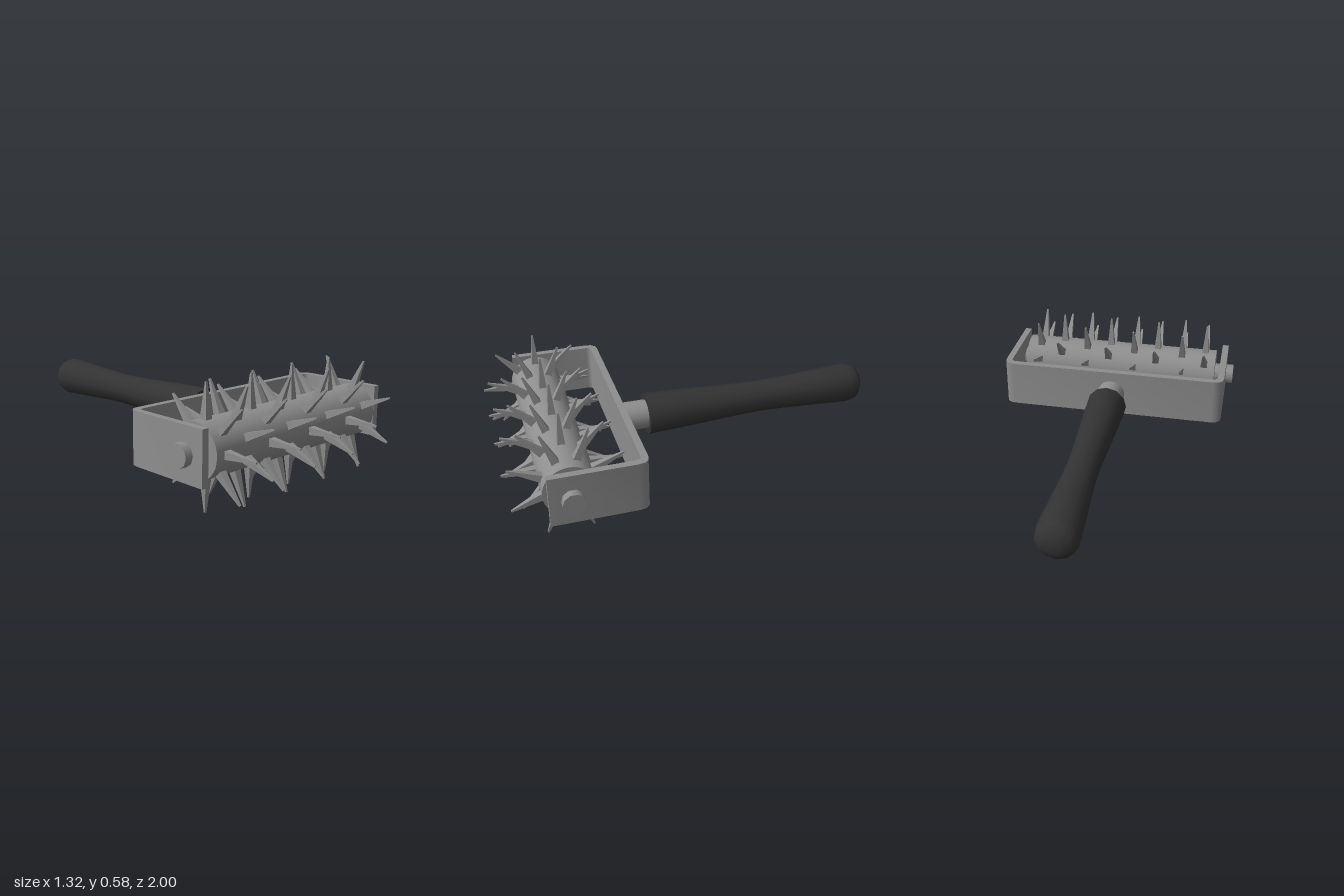
import * as THREE from 'three';
import { toCreasedNormals } from 'three/addons/utils/BufferGeometryUtils.js';

const AXIS_Y = 0.29, AXIS_Z = 0.71;

export function createModel() {
  const model = new THREE.Group();
  model.name = 'spikedRoller';
  const steel = new THREE.MeshStandardMaterial({ color: 0x8e8e8e });
  steel.name = 'steel grey';
  const rubber = new THREE.MeshStandardMaterial({ color: 0x333333 });
  rubber.name = 'handle black';

  const add = (name, geometry, material, y, z, parent = model) => {
    const mesh = new THREE.Mesh(geometry, material);
    mesh.name = name;
    mesh.position.set(0, y, z);
    parent.add(mesh);
    return mesh;
  };

  // Roller drum and the axle through it, both along x
  const rod = (r, length, sides) => new THREE.CylinderGeometry(r, r, length, sides).rotateZ(Math.PI / 2);
  add('drum', rod(0.13, 1.11, 32), steel, AXIS_Y, AXIS_Z);
  add('axle', rod(0.055, 1.32, 10), steel, AXIS_Y, AXIS_Z);

  // Square tapered spikes: eight per ring, every second ring turned half a step
  const spikeGeometry = new THREE.CylinderGeometry(0.006, 0.028, 0.175, 4)
    .rotateY(Math.PI / 4).translate(0, 0.2025, 0).toNonIndexed();
  spikeGeometry.computeVertexNormals();
  const spikes = new THREE.Group();
  spikes.name = 'spikes';
  spikes.position.set(0, AXIS_Y, AXIS_Z);
  model.add(spikes);
  [-0.492, -0.36, -0.213, -0.081, 0.065, 0.198, 0.344, 0.477].forEach((x, ring) => {
    for (let i = 0; i < 8; i++) {
      const spike = add('spike', spikeGeometry, steel, 0, 0, spikes);
      spike.position.x = x;
      spike.rotation.x = (i + (ring % 2) / 2) * Math.PI / 4;
    }
  });

  // U-shaped bracket with rounded rear corners, drawn in plan (x, z)
  const W = 0.62, T = 0.035, BACK = 0.35, FRONT = 0.82, R = 0.055, r = 0.025;
  const plan = new THREE.Shape();
  plan.moveTo(-W, FRONT);
  plan.lineTo(-W, BACK + R);
  plan.quadraticCurveTo(-W, BACK, -W + R, BACK);
  plan.lineTo(W - R, BACK);
  plan.quadraticCurveTo(W, BACK, W, BACK + R);
  plan.lineTo(W, FRONT);
  plan.lineTo(W - T, FRONT);
  plan.lineTo(W - T, BACK + T + r);
  plan.quadraticCurveTo(W - T, BACK + T, W - T - r, BACK + T);
  plan.lineTo(-W + T + r, BACK + T);
  plan.quadraticCurveTo(-W + T, BACK + T, -W + T, BACK + T + r);
  plan.lineTo(-W + T, FRONT);
  plan.closePath();
  const bracket = new THREE.ExtrudeGeometry(plan, { depth: 0.255, bevelEnabled: false, curveSegments: 3 })
    .rotateX(Math.PI / 2);
  add('bracket', toCreasedNormals(bracket, 0.7), steel, 0.418, 0);

  // Shank between bracket and handle
  add('shank', new THREE.CylinderGeometry(0.075, 0.075, 0.18, 20).rotateX(Math.PI / 2), steel, AXIS_Y, 0.275);

  // Waisted handle, profile of radius against distance backwards
  const profile = [
    [0, -0.215], [0.108, -0.215], [0.1, 0], [0.087, 0.25], [0.082, 0.4], [0.085, 0.53],
    [0.095, 0.72], [0.106, 0.92], [0.095, 0.965], [0.07, 0.988], [0.035, 1], [0, 1],
  ].map(([x, y]) => new THREE.Vector2(x, y));
  const handle = new THREE.LatheGeometry(profile, 12).rotateX(-Math.PI / 2);
  add('handle', toCreasedNormals(handle, 0.7), rubber, AXIS_Y, 0);

  return model;
}
